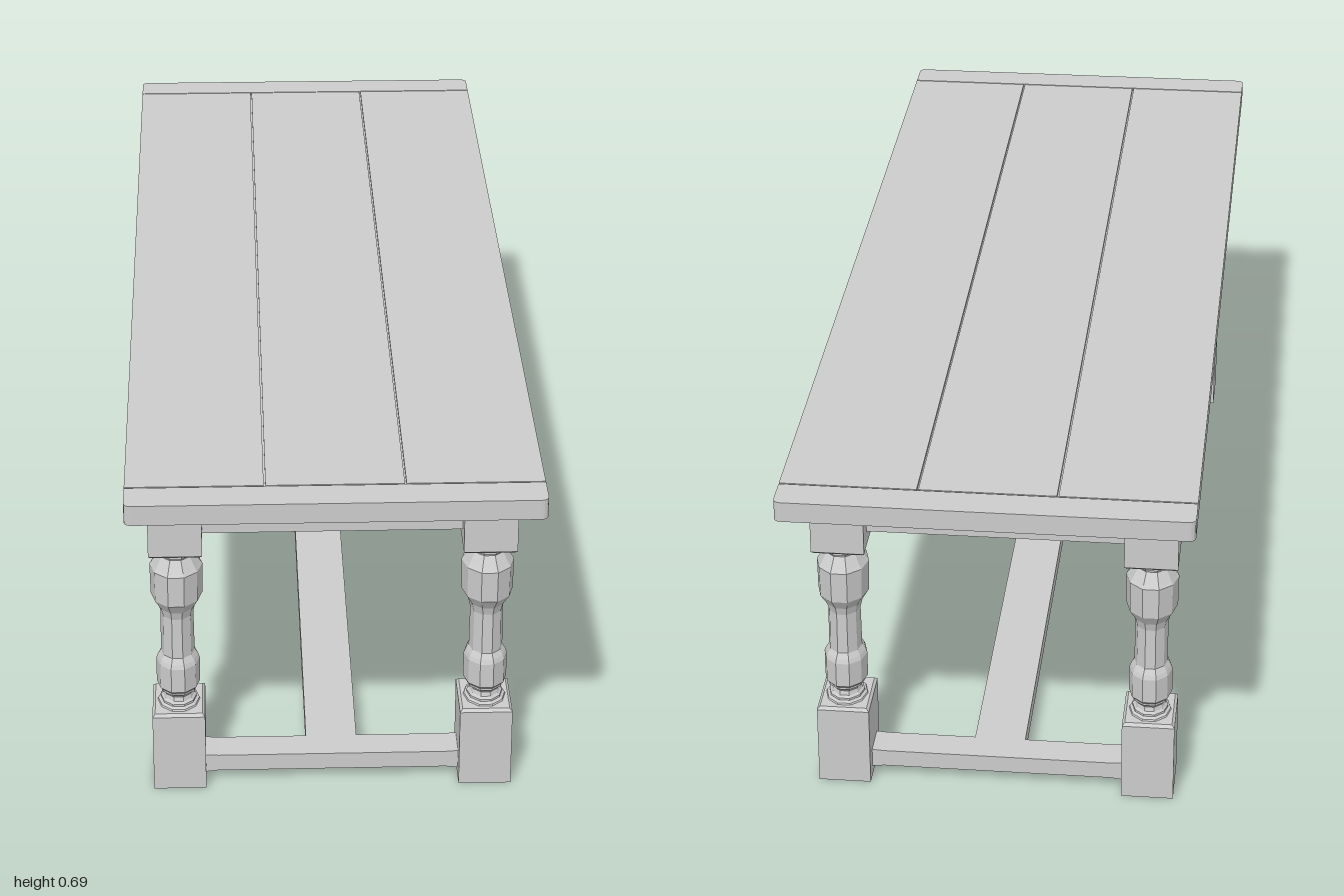
import * as THREE from 'three';

const material = new THREE.MeshStandardMaterial({ color: 0xcccccc, flatShading: true });

const LEG_X = 0.2835, LEG_Z = 0.786;   // leg centres
const LEG_W = 0.097, LEG_D = 0.117;    // leg block section

function add(parent, name, geometry, x = 0, y = 0, z = 0) {
  const mesh = new THREE.Mesh(geometry, material);
  mesh.name = name;
  mesh.position.set(x, y, z);
  parent.add(mesh);
  return mesh;
}

// Box given by its centre in x and z and its bottom and top heights
function addBox(parent, name, w, d, y0, y1, x = 0, z = 0) {
  return add(parent, name, new THREE.BoxGeometry(w, y1 - y0, d), x, (y0 + y1) / 2, z);
}

// Horizontal board with rounded corners in plan
function roundedBoard(w, d, h, r, ends) {
  const x = w / 2, z = d / 2, s = new THREE.Shape();
  const rf = ends.front ? r : 0, rb = ends.back ? r : 0;
  s.moveTo(-x + rf, -z);
  s.lineTo(x - rf, -z);
  if (rf) s.quadraticCurveTo(x, -z, x, -z + rf);
  s.lineTo(x, z - rb);
  if (rb) s.quadraticCurveTo(x, z, x - rb, z);
  s.lineTo(-x + rb, z);
  if (rb) s.quadraticCurveTo(-x, z, -x, z - rb);
  s.lineTo(-x, -z + rf);
  if (rf) s.quadraticCurveTo(-x, -z, -x + rf, -z);
  return new THREE.ExtrudeGeometry(s, { depth: h, bevelEnabled: false, curveSegments: 4 }).rotateX(-Math.PI / 2);
}

// Square block with one chamfered end (up = chamfer on top)
function addLegBlock(parent, name, y0, y1, up) {
  const c = 0.005, k = Math.SQRT1_2;
  addBox(parent, name, LEG_W, LEG_D, up ? y0 : y0 + c, up ? y1 - c : y1);
  const small = 1 - (2 * c) / LEG_W;
  const cap = new THREE.CylinderGeometry(up ? small * k : k, up ? k : small * k, c, 4)
    .rotateY(Math.PI / 4).scale(LEG_W, 1, LEG_D);
  add(parent, name + 'Chamfer', cap, 0, up ? y1 - c / 2 : y0 + c / 2, 0);
}

// Ten-sided turning between the two blocks
const turningProfile = [
  [0.040, 0.158], [0.038, 0.163], [0.033, 0.166], [0.033, 0.170], [0.029, 0.174],
  [0.027, 0.182], [0.031, 0.189], [0.035, 0.191], [0.035, 0.195], [0.040, 0.201],
  [0.040, 0.250], [0.037, 0.258], [0.031, 0.268], [0.030, 0.350], [0.034, 0.366],
  [0.041, 0.378], [0.047, 0.388], [0.048, 0.449], [0.044, 0.455], [0.032, 0.475],
  [0.033, 0.479], [0.037, 0.481], [0.037, 0.485], [0.040, 0.487], [0.040, 0.492],
].map(([r, y]) => new THREE.Vector2(r, y));

function createLeg() {
  const leg = new THREE.Group();
  leg.name = 'leg';
  addLegBlock(leg, 'footBlock', 0, 0.16, true);
  add(leg, 'turning', new THREE.LatheGeometry(turningProfile, 10, Math.PI / 10)
    .scale(1, 1, LEG_D / LEG_W));
  addLegBlock(leg, 'topBlock', 0.49, 0.648, false);
  return leg;
}

// Cross stretcher that thickens slightly where it meets the legs
function crossStretcher(depth) {
  const e = 0.24, i = 0.212, s = new THREE.Shape();
  s.moveTo(-e, 0.0175);
  [[-0.235, 0.0175], [-i, 0.02], [i, 0.02], [0.235, 0.0175], [e, 0.0175],
    [e, 0.0545], [0.235, 0.0545], [i, 0.053], [-i, 0.053], [-0.235, 0.0545], [-e, 0.0545],
  ].forEach(([x, y]) => s.lineTo(x, y));
  return new THREE.ExtrudeGeometry(s, { depth, bevelEnabled: false }).translate(0, 0, -depth / 2);
}

export function createModel() {
  const table = new THREE.Group();
  table.name = 'table';

  // Tabletop: slab with three planks and two end boards, split by fine grooves
  const top = new THREE.Group();
  top.name = 'tabletop';
  table.add(top);
  const W = 0.736, y0 = 0.647, yMid = 0.679, y1 = 0.685, gap = 0.003, endD = 0.066, r = 0.014;
  add(top, 'slab', roundedBoard(W, 2, yMid - y0, r, { front: true, back: true }), 0, y0, 0);
  const plankW = (W - 2 * gap) / 3, plankL = 2 - 2 * (endD + gap);
  for (const i of [-1, 0, 1]) {
    addBox(top, 'plank', plankW, plankL, yMid, y1, i * (plankW + gap), 0);
  }
  for (const side of [-1, 1]) {
    const board = roundedBoard(W, endD, y1 - yMid, r, { front: side > 0, back: side < 0 });
    add(top, 'endBoard', board, 0, yMid, side * (1 - endD / 2));
  }

  // Each end: a pair of legs, an apron and a cross stretcher
  for (const z of [-LEG_Z, LEG_Z]) {
    for (const x of [-LEG_X, LEG_X]) {
      const leg = createLeg();
      leg.position.set(x, 0, z);
      table.add(leg);
    }
    addBox(table, 'apron', 0.48, 0.045, 0.523, 0.633, 0, z);
    add(table, 'crossStretcher', crossStretcher(0.062), 0, 0, z);
  }

  // Long stretcher joining the two ends
  addBox(table, 'longStretcher', 0.095, 2 * LEG_Z - 0.06, 0.0202, 0.0528);

  return table;
}
